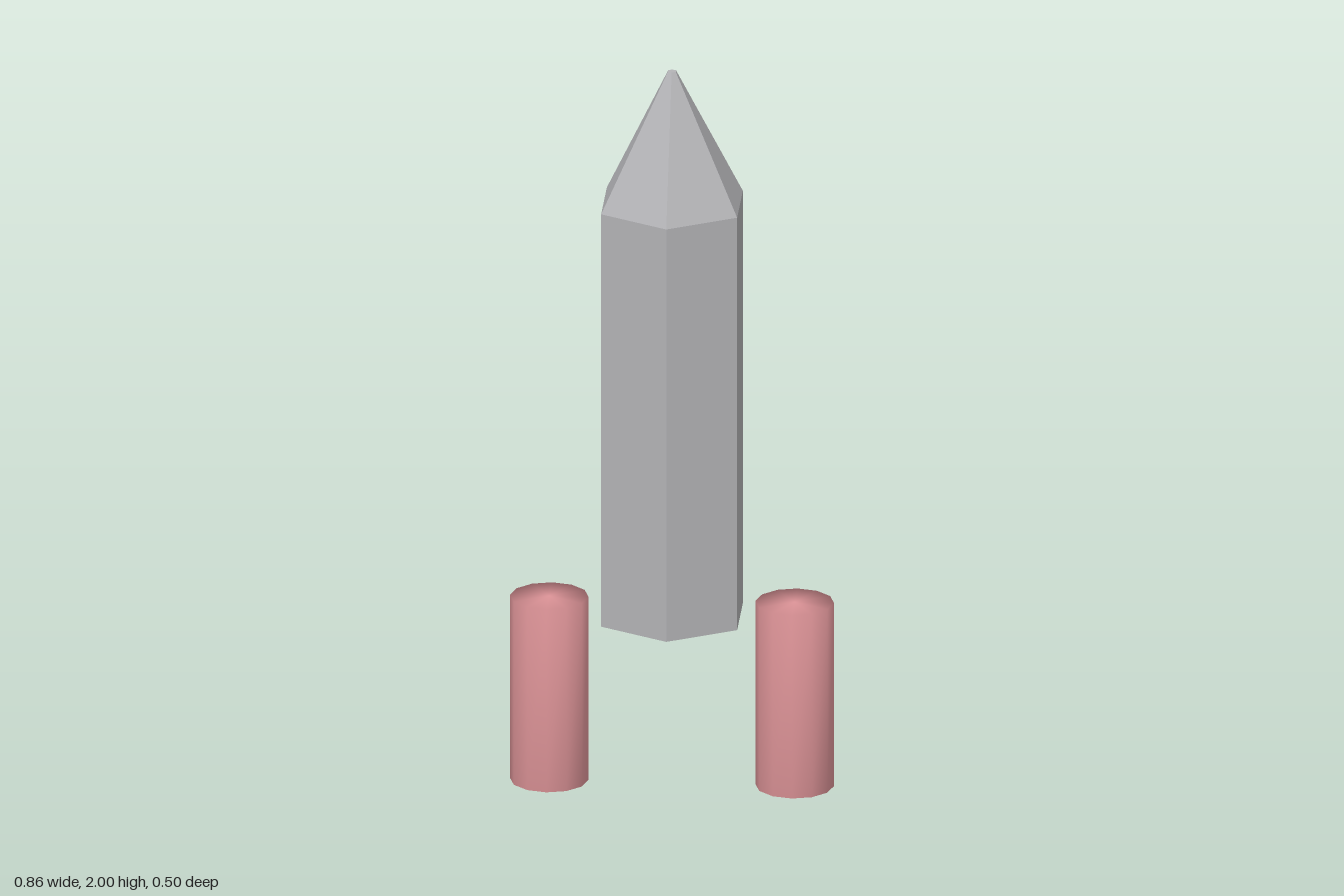
import * as THREE from 'three';
import { mergeVertices } from 'three/addons/utils/BufferGeometryUtils.js';

const AXIS_Z = 0.04; // centre line of the rocket

export function createModel() {
  const group = new THREE.Group();
  const hullGrey = new THREE.MeshStandardMaterial({ name: 'hullGrey', color: 0xb4b4b7, flatShading: true });
  const boosterRed = new THREE.MeshStandardMaterial({ name: 'boosterRed', color: 0xdf9599 });
  const glassBlue = new THREE.MeshStandardMaterial({ name: 'glassBlue', color: 0xbdd6e0 });

  const add = (name, geometry, material, x, y, z) => {
    const mesh = new THREE.Mesh(geometry, material);
    mesh.name = name;
    mesh.position.set(x, y, z);
    group.add(mesh);
    return mesh;
  };

  // Six-sided hull and tapered nose with a tiny blunt tip
  const hullBottom = 0.47, hullTop = 1.63, radius = 0.208;
  const hullHeight = hullTop - hullBottom, noseHeight = 2 - hullTop;
  add('hull', new THREE.CylinderGeometry(radius, radius, hullHeight, 6), hullGrey,
    0, hullBottom + hullHeight / 2, AXIS_Z);
  add('nose', new THREE.CylinderGeometry(0.012, radius, noseHeight, 6), hullGrey,
    0, hullTop + noseHeight / 2, AXIS_Z);

  // Boosters: caps and sides share their normals for soft rims
  const boosterHeight = 0.515;
  let booster = new THREE.CylinderGeometry(0.104, 0.104, boosterHeight, 12);
  booster.deleteAttribute('uv');
  booster.deleteAttribute('normal');
  booster = mergeVertices(booster);
  booster.computeVertexNormals();
  for (const [name, side] of [['leftBooster', 1], ['rightBooster', -1]]) {
    add(name, booster, boosterRed, side * 0.325, boosterHeight / 2, AXIS_Z);
  }

  // Bulging window set into the rear edge of the hull
  add('window', new THREE.SphereGeometry(1, 16, 12), glassBlue, 0, 1.42, -0.128)
    .scale.set(0.14, 0.1, 0.125);

  return group;
}
